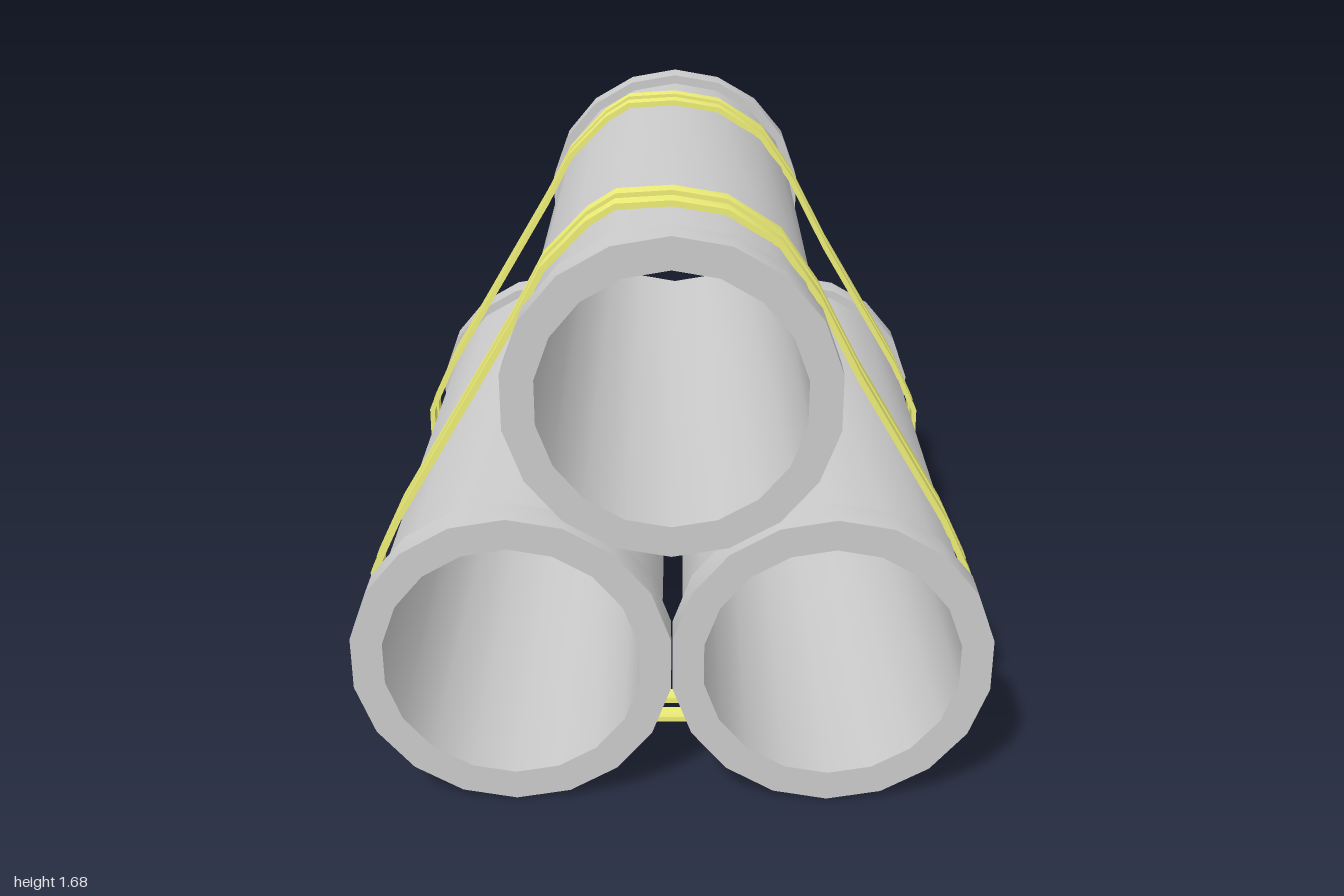
import * as THREE from 'three';
import { toCreasedNormals } from 'three/addons/utils/BufferGeometryUtils.js';

const CREASE = 0.75;

// Hollow pipe along z with a raised collar at each end
function pipeGeometry() {
  const inner = 0.358, body = 0.418, collar = 0.447, end = 1, lip = 0.9;
  const profile = [
    [inner, end], [inner, -end], [collar, -end], [collar, -lip], [body, -lip],
    [body, lip], [collar, lip], [collar, end], [inner, end],
  ].map(([r, y]) => new THREE.Vector2(r, y));
  const geo = new THREE.LatheGeometry(profile, 18);
  geo.rotateX(Math.PI / 2);
  return toCreasedNormals(geo, CREASE);
}

// Taut band wrapped around all three pipes: outline with an inset hole
function bandGeometry(width, thickness) {
  const outer = [
    [0.61, 0.023], [0.725, 0.11], [0.815, 0.22], [0.877, 0.36], [0.875, 0.54], [0.79, 0.72],
    [0.53, 1.16], [0.405, 1.40], [0.30, 1.55], [0.15, 1.645], [0, 1.67], [-0.155, 1.66],
    [-0.235, 1.61], [-0.36, 1.48], [-0.445, 1.32], [-0.80, 0.72], [-0.885, 0.54],
    [-0.887, 0.36], [-0.82, 0.20], [-0.74, 0.11], [-0.64, 0.023],
  ].map(([x, y]) => new THREE.Vector2(x, y));
  const n = outer.length;
  const inset = outer.map((p, i) => {
    const a = p.clone().sub(outer[(i + n - 1) % n]).normalize();
    const b = outer[(i + 1) % n].clone().sub(p).normalize();
    const inward = new THREE.Vector2(-a.y - b.y, a.x + b.x).normalize();
    const scale = thickness / (inward.x * -a.y + inward.y * a.x);
    return p.clone().addScaledVector(inward, scale);
  });
  const shape = new THREE.Shape(outer);
  shape.holes.push(new THREE.Path(inset));
  const geo = new THREE.ExtrudeGeometry(shape, { depth: width, bevelEnabled: false });
  geo.translate(0, 0, -width / 2);
  return toCreasedNormals(geo, CREASE);
}

export function createModel() {
  const model = new THREE.Group();
  model.name = 'pipeBundle';
  const grey = new THREE.MeshStandardMaterial({ color: 0xcccccc });
  const yellow = new THREE.MeshStandardMaterial({ color: 0xeeee77 });

  // Three stacked pipes
  const pipe = pipeGeometry();
  const places = { leftPipe: [0.442, 0.448], rightPipe: [-0.442, 0.448], topPipe: [0, 1.232] };
  for (const [name, [x, y]] of Object.entries(places)) {
    const mesh = new THREE.Mesh(pipe, grey);
    mesh.name = name;
    mesh.position.set(x, y, 0);
    model.add(mesh);
  }

  // A pair of bands near each end
  const band = bandGeometry(0.053, 0.017);
  const bands = { frontOuterBand: 0.629, frontInnerBand: 0.529, backInnerBand: -0.567, backOuterBand: -0.667 };
  for (const [name, z] of Object.entries(bands)) {
    const mesh = new THREE.Mesh(band, yellow);
    mesh.name = name;
    mesh.position.z = z;
    model.add(mesh);
  }
  return model;
}
